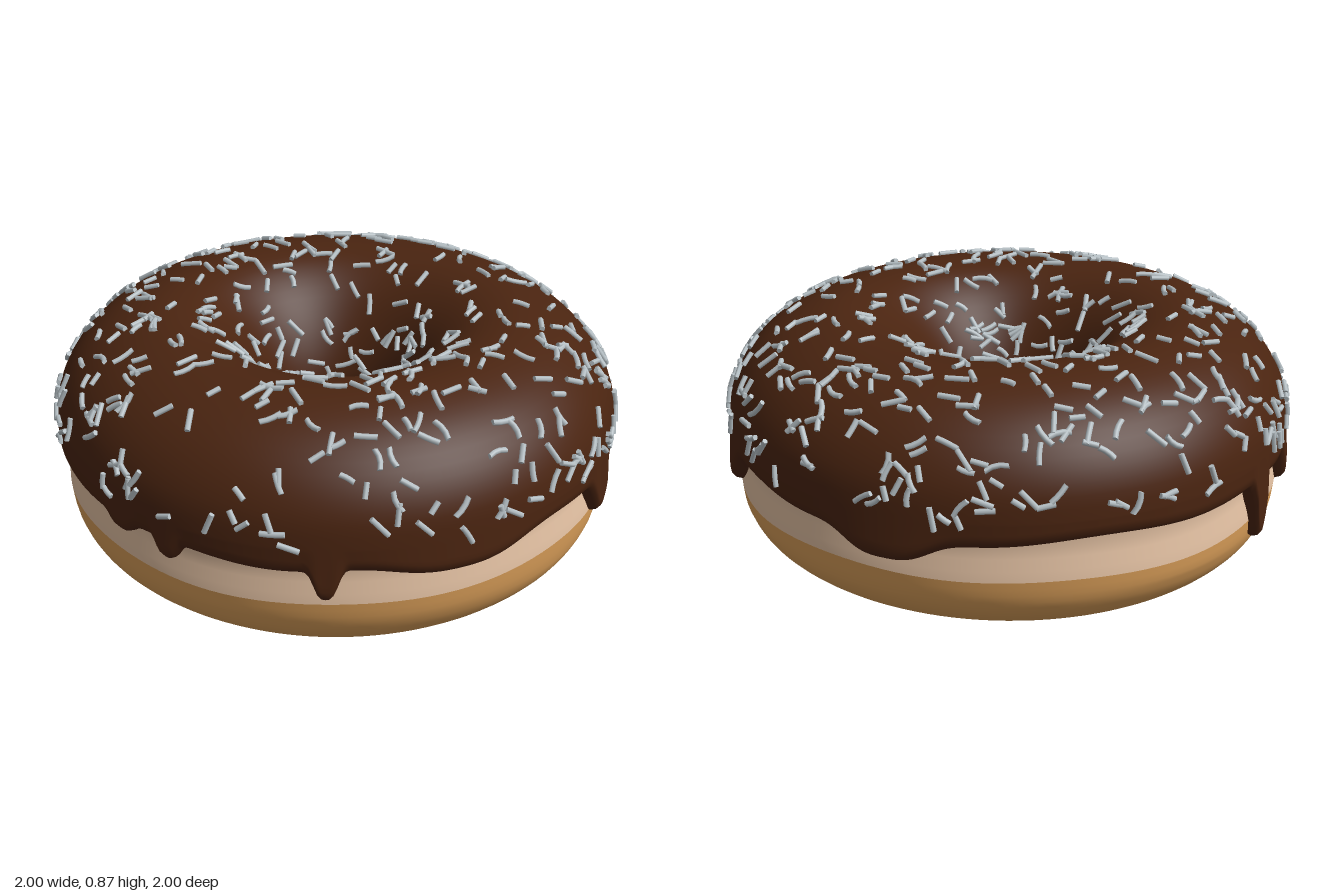
import * as THREE from 'three';
import { mergeVertices, mergeGeometries } from 'three/addons/utils/BufferGeometryUtils.js';

const mat = (name, color, side = THREE.FrontSide) =>
  Object.assign(new THREE.MeshStandardMaterial({ color, side }), { name });
const v2 = (list) => list.map(([r, y]) => new THREE.Vector2(r, y));

// Small seeded generator
let seed = 7;
const rand = () => {
  seed = (seed * 16807) % 2147483647;
  return seed / 2147483647;
};

// Drips: angle from the front, half width (radians), lowest y
const BASE = 0.41;
const DRIPS = [
  [-0.705, 0.045, 0.31], [0.482, 0.075, 0.285], [1.31, 0.125, 0.285],
  [2.27, 0.17, 0.335], [-2.59, 0.042, 0.21], [-2.24, 0.038, 0.29],
  [-1.25, 0.045, 0.35], [-1.46, 0.06, 0.375], [-0.26, 0.26, 0.365],
];

// How far the outer icing edge hangs below its base at an angle
function dripAt(a) {
  let d = 0;
  for (const [c, w, low] of DRIPS) {
    const diff = Math.atan2(Math.sin(a - c), Math.cos(a - c));
    d = Math.max(d, (BASE - low) * Math.exp(-Math.pow(Math.abs(diff / w), 3)));
  }
  return d;
}

// Smooth ring turned from a profile, each vertex moved by a rule(angle, r, y, row) -> [r, y]
function ring(points, segments, rule) {
  let geo = new THREE.LatheGeometry(points, segments);
  const p = geo.attributes.position;
  for (let i = 0; i < p.count; i++) {
    const a = (Math.floor(i / points.length) % segments) / segments * Math.PI * 2;
    const row = i % points.length;
    const [r, y] = rule(a, points[row].x, points[row].y, row);
    p.setXYZ(i, Math.sin(a) * r, y, Math.cos(a) * r);
  }
  geo.deleteAttribute('uv');
  geo.deleteAttribute('normal');
  geo = mergeVertices(geo, 1e-5);
  geo.computeVertexNormals();
  return geo;
}

// Slightly uneven dough: the base lifts toward one side, the band waves
function doughRule(a, r, y) {
  const lift = y < 0.25 ? 0.018 * Math.max(0, r * (Math.sin(a) - Math.cos(a))) * (1 - y / 0.25) : 0;
  const wave = y > 0.2 && r > 0.6 ? 0.006 * Math.sin(3 * a + 1) + 0.004 * Math.sin(7 * a) : 0;
  return [r, y + lift + wave];
}

// Top of the icing, from the outer wall over the crown into the hole
const CROWN = new THREE.SplineCurve(v2([
  [0.988, 0.5], [0.975, 0.59], [0.93, 0.68], [0.86, 0.755], [0.77, 0.81], [0.66, 0.845],
  [0.57, 0.85], [0.47, 0.825], [0.37, 0.755], [0.29, 0.655], [0.235, 0.55], [0.207, 0.46],
]));

function icingGeometry() {
  const outer = [[0.92, 0.02], [0.95, 0], [0.972, 0.008], [0.985, 0.025], [0.988, 0.045]];
  const inner = [[0.204, 0.03], [0.21, 0.008], [0.225, 0], [0.25, 0.015]];
  const fill = 4; // rows between the rounded edge and the crown
  const crown = CROWN.getSpacedPoints(30);
  const points = [
    ...v2(outer),
    ...v2(Array.from({ length: fill }, (_, i) => [0.988, (i + 1) / (fill + 1)])),
    ...crown,
    ...v2(inner),
  ];
  const first = outer.length + fill, last = first + crown.length;
  return ring(points, 480, (a, r, y, row) => {
    if (row >= first && row < last) return [r, y];
    if (row >= last) return [r, y + 0.365 + 0.02 * Math.sin(5 * a) + 0.012 * Math.sin(8 * a + 1)];
    const drip = dripAt(a);
    const edge = BASE + 0.008 * Math.sin(4 * a + 2) + 0.006 * Math.sin(9 * a) - drip;
    const bulge = 0.012 * Math.min(1, drip / 0.08);
    if (row < outer.length) return [r + (row ? bulge : 0), y + edge];
    return [r + bulge * (1 - y), THREE.MathUtils.lerp(edge + 0.045, 0.5, y)];
  });
}

// Short rods, some bent, lying at random on the icing
function sprinkleGeometry(count) {
  const parts = [];
  const up = new THREE.Vector3(), around = new THREE.Vector3(), along = new THREE.Vector3();
  const side = new THREE.Vector3(), dir = new THREE.Vector3(), m = new THREE.Matrix4();
  while (parts.length < count) {
    const u = rand();
    const p = CROWN.getPointAt(u);
    if (rand() > p.x + 0.12) continue; // even spread over the area
    const t = CROWN.getTangentAt(u);
    const a = rand() * Math.PI * 2, s = Math.sin(a), c = Math.cos(a);
    up.set(t.y * s, -t.x, t.y * c).normalize();
    around.set(c, 0, -s);
    along.crossVectors(around, up);
    const turn = rand() * Math.PI * 2;
    dir.copy(around).multiplyScalar(Math.cos(turn)).addScaledVector(along, Math.sin(turn));
    side.crossVectors(dir, up);

    const length = 0.045 + rand() * 0.035;
    const bend = rand() < 0.5 ? 0 : (rand() - 0.5) * 16;
    const rod = new THREE.CylinderGeometry(0.0095, 0.0095, length, 6, 3);
    const q = rod.attributes.position;
    for (let i = 0; i < q.count; i++) q.setX(i, q.getX(i) + bend * q.getY(i) ** 2);
    m.makeBasis(side, dir, up);
    m.setPosition(p.x * s + up.x * 0.005, p.y + up.y * 0.005, p.x * c + up.z * 0.005);
    parts.push(rod.applyMatrix4(m));
  }
  return mergeGeometries(parts);
}

export function createModel() {
  const group = new THREE.Group();
  group.name = 'donut';
  const dough = mat('golden dough', 0xdca05a, THREE.DoubleSide);
  const pale = mat('pale dough', 0xe2c0a2, THREE.DoubleSide);
  const chocolate = mat('chocolate icing', 0x4a2410, THREE.DoubleSide);
  const silver = mat('silver sprinkles', 0xb9c3c8);
  const add = (name, geometry, material) => {
    const mesh = new THREE.Mesh(geometry, material);
    mesh.name = name;
    group.add(mesh);
  };

  // Lower dough: down the hole, across the flat base and up the outer side
  const base = new THREE.SplineCurve(v2([
    [0.225, 0.47], [0.228, 0.36], [0.25, 0.24], [0.31, 0.14], [0.41, 0.06], [0.53, 0.012],
    [0.63, 0], [0.73, 0.012], [0.83, 0.055], [0.91, 0.125], [0.95, 0.2], [0.962, 0.28],
  ]));
  const basePoints = base.getSpacedPoints(44);
  basePoints.forEach((p) => { p.y = Math.max(0, p.y); });
  add('lowerDough', ring(basePoints, 120, doughRule), dough);

  // Pale band around the waist, and the dough above it that the icing covers
  add('paleBand', ring(v2([[0.962, 0.28], [0.957, 0.315], [0.947, 0.355], [0.942, 0.39], [0.945, 0.425]]), 120, doughRule), pale);
  add('upperDough', ring(v2([[0.945, 0.425], [0.95, 0.46], [0.95, 0.52], [0.92, 0.6]]), 120, doughRule), dough);

  add('icing', icingGeometry(), chocolate);
  add('sprinkles', sprinkleGeometry(580), silver);
  return group;
}
